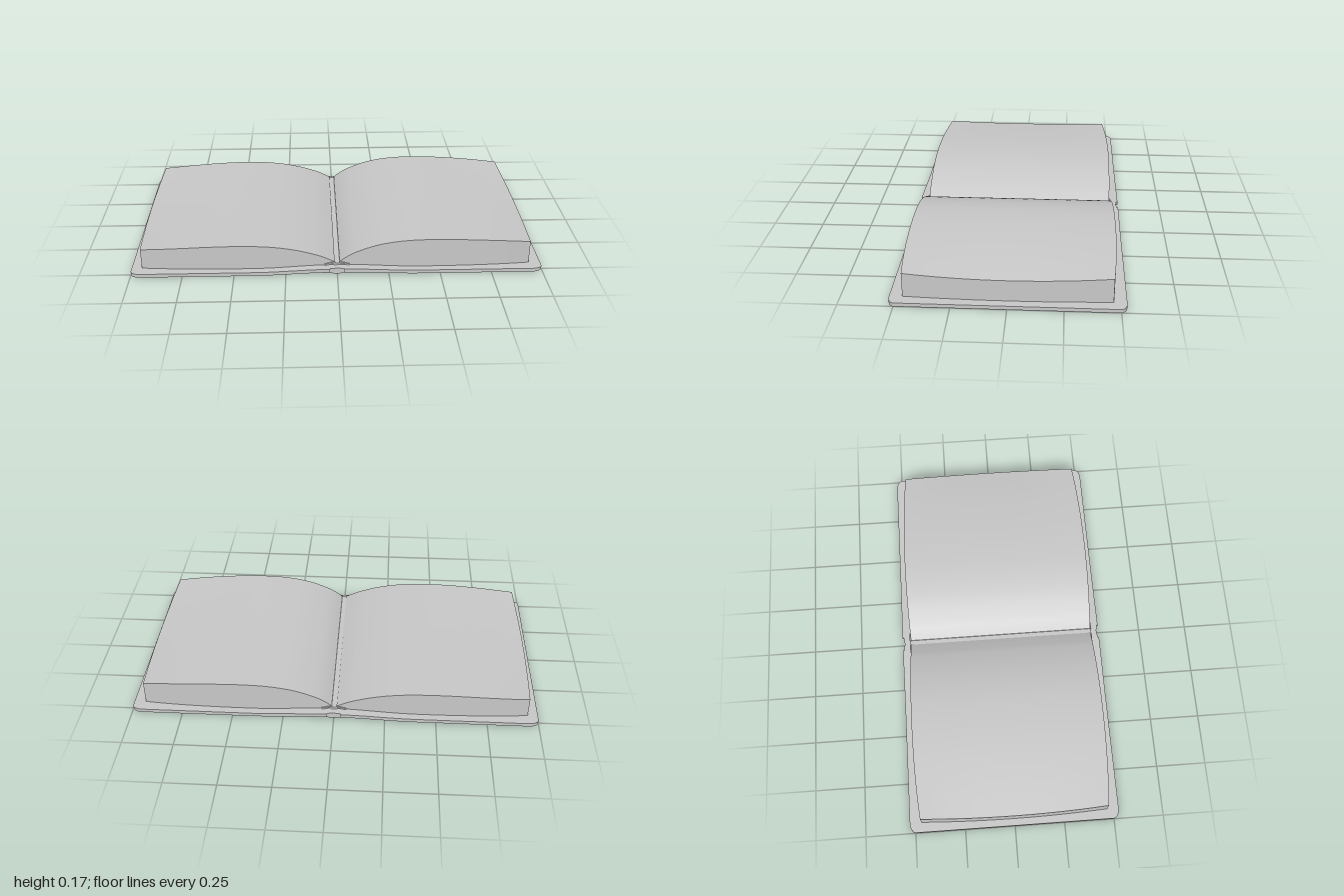
import * as THREE from 'three';
import { mergeGeometries } from 'three/addons/utils/BufferGeometryUtils.js';

const grey = new THREE.MeshStandardMaterial({ color: 0xc8c8c8 });
grey.name = 'plain grey';

// Smooth grid patch; f(u, v) gives a point, and the face looks along dv x du.
function patch(f, nu, nv) {
  const pos = [], idx = [];
  for (let i = 0; i <= nu; i++) {
    for (let j = 0; j <= nv; j++) pos.push(...f(i / nu, j / nv));
  }
  for (let i = 0; i < nu; i++) {
    for (let j = 0; j < nv; j++) {
      const a = i * (nv + 1) + j, b = a + nv + 1;
      idx.push(a, a + 1, b, b, a + 1, b + 1);
    }
  }
  const g = new THREE.BufferGeometry();
  g.setAttribute('position', new THREE.Float32BufferAttribute(pos, 3));
  g.setIndex(idx);
  g.computeVertexNormals();
  return g;
}

// Closed slab: f(u, h, t) with u along +x, h from bottom to top, t along +z (all 0..1).
function slab(name, f, nx, nz) {
  const mesh = new THREE.Mesh(mergeGeometries([
    patch((u, v) => f(u, 1, v), nx, nz),
    patch((u, v) => f(v, 0, u), nz, nx),
    patch((u, v) => f(v, u, 1), 1, nx),
    patch((u, v) => f(u, v, 0), nx, 1),
    patch((u, v) => f(1, v, u), nz, 1),
    patch((u, v) => f(0, u, v), 1, nz),
  ]), grey);
  mesh.name = name;
  return mesh;
}

// Underside of the boards: flat, lifting gently toward the hinge.
const lift = (a) => 0.012 * (1 - THREE.MathUtils.smoothstep(a, 0.04, 0.4));

// Cover board with rounded outer corners
function cover(name, side) {
  const r = 0.05, inner = 0.035;
  return slab(name, (u, h, t) => {
    const s = side > 0 ? u : 1 - u;
    // stations crowd toward the outer corner
    const a = s < 0.5
      ? inner + (1 - r - inner) * s * 2
      : 1 - r + r * Math.sin((s - 0.5) * Math.PI);
    const k = Math.max(0, (a - 1 + r) / r);
    const half = 0.497 + 0.03 * Math.sqrt(Math.max(0, 1 - k * k));
    return [side * a, lift(a) + 0.018 * h, (t * 2 - 1) * half];
  }, 32, 2);
}

// Page block: arched top profile, bowed fore edge, slightly dipped corners
function pages(name, side, profile) {
  const curve = new THREE.SplineCurve(profile.map(([x, y]) => new THREE.Vector2(x, y)));
  return slab(name, (u, h, t) => {
    const p = curve.getPoint(side > 0 ? u : 1 - u);
    const v = t * 2 - 1, a = p.x;
    const outer = Math.pow(a / 0.957, 5);
    const half = 0.481 + 0.008 * Math.sin(Math.min(1, a / 0.957) * Math.PI) - 0.013 * outer;
    const x = side * (a - 0.014 * v * v * outer);
    const top = p.y + 0.014 * v * v * outer;
    return [x, h ? top : lift(a) + 0.016, v * half];
  }, 36, 12);
}

export function createModel() {
  const book = new THREE.Group();
  book.name = 'openBook';

  book.add(cover('leftCover', 1), cover('rightCover', -1));

  book.add(pages('leftPages', 1, [
    [0.012, 0.046], [0.05, 0.075], [0.1, 0.102], [0.2, 0.138], [0.32, 0.159],
    [0.46, 0.165], [0.62, 0.159], [0.8, 0.143], [0.957, 0.121],
  ]));
  book.add(pages('rightPages', -1, [
    [0.012, 0.046], [0.05, 0.065], [0.1, 0.086], [0.2, 0.115], [0.32, 0.135],
    [0.46, 0.142], [0.62, 0.138], [0.8, 0.124], [0.965, 0.106],
  ]));

  // Spine: shallow bulge joining the boards
  book.add(slab('spine', (u, h, t) => {
    const x = (u * 2 - 1) * 0.045, k = Math.abs(u * 2 - 1);
    return [x, h ? 0.03 : 0.012 * k * k, (t * 2 - 1) * (0.516 + 0.006 * k)];
  }, 8, 1));

  // Gutter strip between the page blocks
  const gutter = new THREE.Mesh(new THREE.BoxGeometry(0.03, 0.014, 0.97), grey);
  gutter.name = 'gutter';
  gutter.position.y = 0.034;
  book.add(gutter);

  // Bands at the two ends of the spine
  for (const end of [1, -1]) {
    const band = new THREE.Group();
    band.name = end > 0 ? 'frontBand' : 'backBand';
    for (const side of [1, -1]) {
      const flap = new THREE.Mesh(new THREE.BoxGeometry(0.05, 0.008, 0.012), grey);
      flap.name = 'bandFlap';
      flap.position.set(side * 0.036, 0.038, end * 0.482);
      flap.rotation.z = -side * 0.25;
      band.add(flap);
    }
    book.add(band);
  }
  return book;
}
